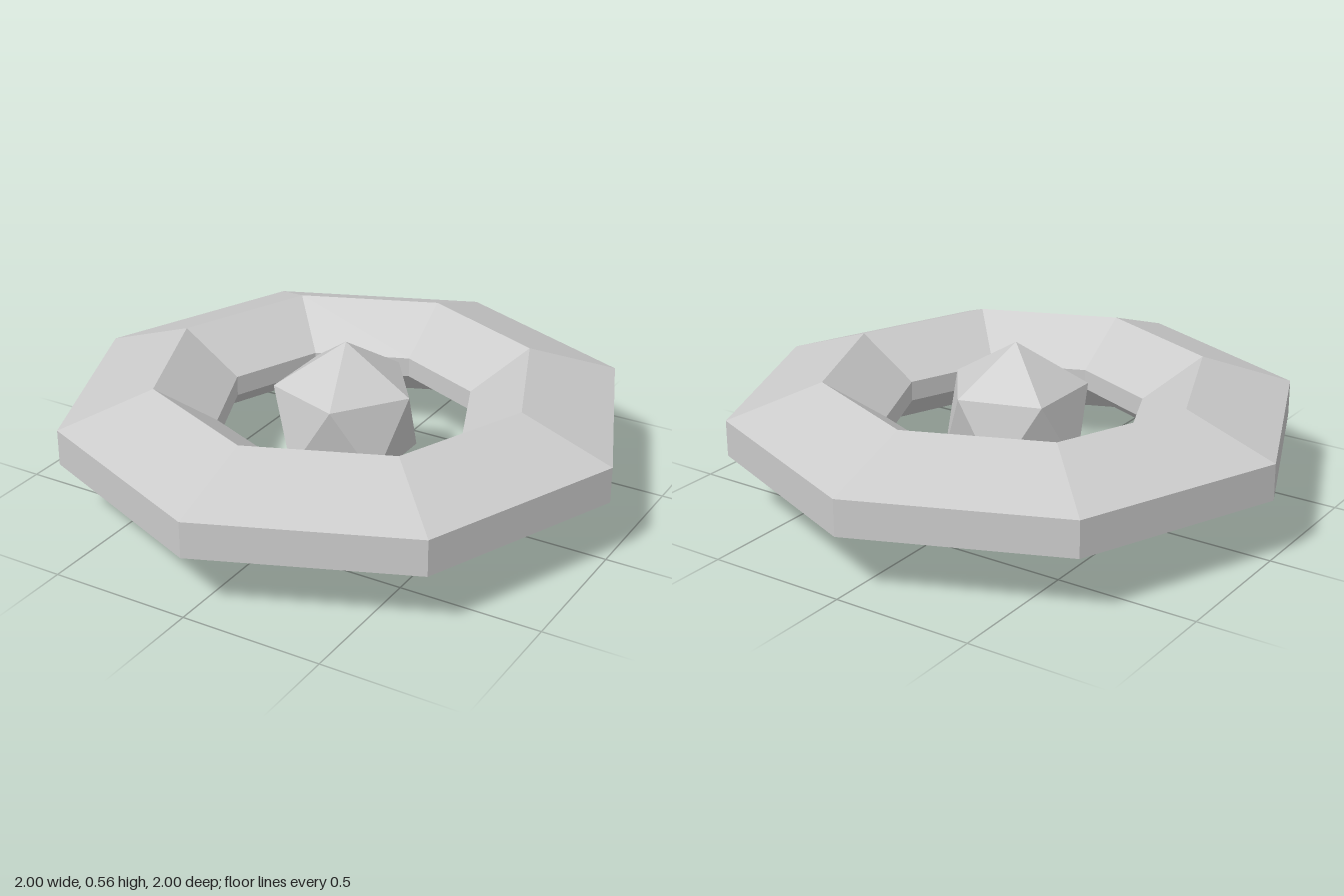
import * as THREE from 'three';

const MID = 0.28; // height of the shared centre

export function createModel() {
  const model = new THREE.Group();
  const material = new THREE.MeshStandardMaterial({ color: 0xcccccc, flatShading: true });

  // Eight-sided ring with a six-sided cross-section
  const profile = [
    [1, -0.064], [1, 0.064], [0.67, 0.18],
    [0.455, 0.036], [0.455, -0.036], [0.67, -0.18], [1, -0.064],
  ].map(([r, y]) => new THREE.Vector2(r, y));
  const ring = new THREE.Mesh(new THREE.LatheGeometry(profile, 8), material);
  ring.name = 'ring';
  ring.position.y = MID;
  model.add(ring);

  // Floating core: icosahedron turned to stand on one corner
  const coreGeometry = new THREE.IcosahedronGeometry(MID, 0);
  coreGeometry.rotateZ(-Math.atan(2 / (1 + Math.sqrt(5))));
  const core = new THREE.Mesh(coreGeometry, material);
  core.name = 'core';
  core.position.y = MID;
  model.add(core);

  return model;
}
